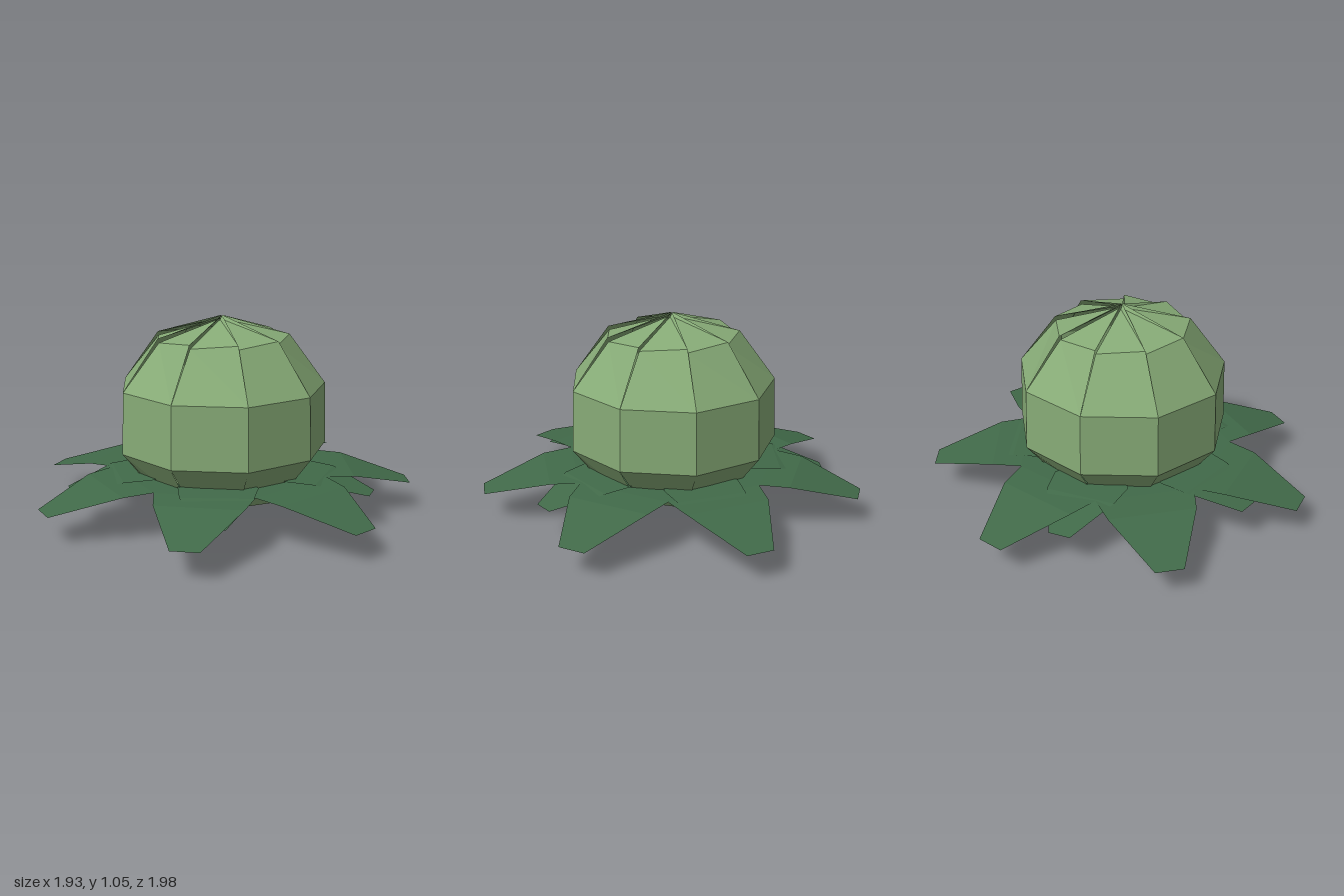
import * as THREE from 'three';

const CENTRE_X = -0.03;

// Surface through rows of points, as flat quads
function strip(rows) {
  const pos = [];
  for (let j = 0; j < rows.length - 1; j++) {
    const a = rows[j], b = rows[j + 1];
    for (let i = 0; i < a.length - 1; i++) {
      pos.push(...a[i], ...b[i], ...b[i + 1], ...a[i], ...b[i + 1], ...a[i + 1]);
    }
  }
  const g = new THREE.BufferGeometry();
  g.setAttribute('position', new THREE.Float32BufferAttribute(pos, 3));
  g.computeVertexNormals();
  return g;
}

// Point at radius r, height y and angle a
const polar = (r, y, a) => [r * Math.cos(a), y, r * Math.sin(a)];

// One segment of the head; one side is tucked in near the poles, leaving slits
function headLeaf() {
  const a = (Math.PI * 2) / 9;
  const outer = [[0.01, 0.0], [0.35, 0.11], [0.55, 0.37], [0.54, 0.69], [0.35, 0.95], [0.005, 1.05]];
  const tucked = [[0.02, 0.02], [0.345, 0.125], [0.55, 0.37], [0.54, 0.69], [0.345, 0.93], [0.02, 1.03]];
  return strip(outer.map(([r, y], j) => [polar(r, y, 0), polar(tucked[j][0], tucked[j][1], a)]));
}

// Drooping blunt leaf from sections of [radius, height, half width]
function spreadLeaf(sections) {
  return strip(sections.map(([r, y, w]) => [[r, y, w], [r, y, -w]]));
}

export function createModel() {
  const headGreen = new THREE.MeshStandardMaterial({ color: 0x86aa76 });
  headGreen.name = 'light green';
  const leafGreen = new THREE.MeshStandardMaterial({ color: 0x416a49 });
  leafGreen.name = 'dark green';
  for (const m of [headGreen, leafGreen]) {
    m.flatShading = true;
    m.side = THREE.DoubleSide;
  }

  const model = new THREE.Group();
  model.name = 'leafyPlant';

  // Ring of copies about the vertical axis
  function ring(name, geometry, material, count, startDeg) {
    const group = new THREE.Group();
    group.name = name + 's';
    group.position.x = CENTRE_X;
    for (let i = 0; i < count; i++) {
      const mesh = new THREE.Mesh(geometry, material);
      mesh.name = name;
      mesh.rotation.y = -THREE.MathUtils.degToRad(startDeg + (i * 360) / count);
      group.add(mesh);
    }
    model.add(group);
  }

  // Round head
  ring('headLeaf', headLeaf(), headGreen, 9, 0);

  // Large outer leaves
  ring('outerLeaf', spreadLeaf([
    [0.36, 0.25, 0.18], [0.52, 0.25, 0.25], [0.67, 0.24, 0.22], [1.0, 0.15, 0.07],
  ]), leafGreen, 7, 0);

  // Smaller leaves between them
  ring('innerLeaf', spreadLeaf([
    [0.32, 0.26, 0.15], [0.42, 0.26, 0.2], [0.56, 0.252, 0.18], [0.81, 0.185, 0.055],
  ]), leafGreen, 5, 24);

  return model;
}
